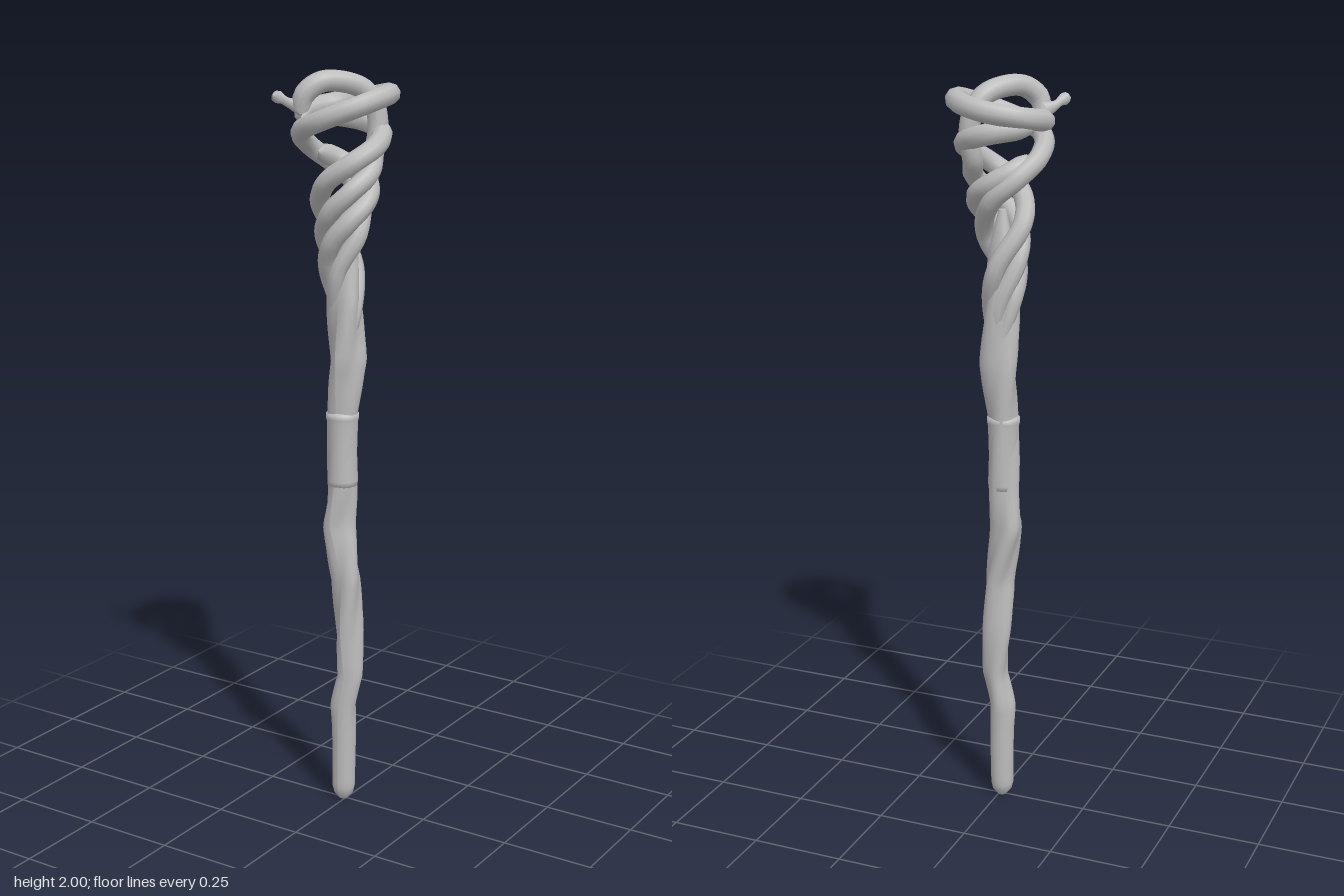
import * as THREE from 'three';

const V = (x, y, z) => new THREE.Vector3(x, y, z);

// Linear interpolation in rows of [key, a, b, ...]
function sample(rows, k) {
  let i = 0;
  while (i < rows.length - 2 && k > rows[i + 1][0]) i++;
  const a = rows[i], b = rows[i + 1];
  const t = THREE.MathUtils.clamp((k - a[0]) / (b[0] - a[0]), 0, 1);
  return a.slice(1).map((v, j) => v + (b[j + 1] - v) * t);
}

// Points around the staff axis from [degrees, distance, height]
const spiral = rows => rows.map(([deg, d, y]) => {
  const a = deg * Math.PI / 180;
  return V(Math.cos(a) * d - 0.006, y, Math.sin(a) * d);
});

// Tube whose thickness follows rows of [t, radius]; zero radius closes an end
function branch(points, radii, segments, sides = 9) {
  const curve = new THREE.CatmullRomCurve3(points);
  const geo = new THREE.TubeGeometry(curve, segments, 1, sides);
  const pos = geo.attributes.position, p = V(0, 0, 0);
  for (let i = 0; i <= segments; i++) {
    const c = curve.getPointAt(i / segments);
    const [r] = sample(radii, i / segments);
    for (let j = 0; j <= sides; j++) {
      const n = i * (sides + 1) + j;
      p.fromBufferAttribute(pos, n).sub(c).multiplyScalar(r).add(c);
      pos.setXYZ(n, p.x, p.y, p.z);
    }
  }
  return geo;
}

// Shaft: [height, centre x, centre z, radius, depth of the twisted ribs]
const SHAFT = [
  [0, -0.008, 0, 0.012, 0], [0.012, -0.008, 0, 0.025, 0], [0.035, -0.008, 0, 0.031, 0],
  [0.2, -0.007, 0, 0.033, 0.02], [0.28, -0.008, -0.002, 0.035, 0.1],
  [0.37, 0.01, -0.005, 0.033, 0.12], [0.5, 0.005, -0.003, 0.037, 0.14],
  [0.65, 0.003, 0, 0.038, 0.16], [0.8, -0.024, 0, 0.041, 0.17],
  [0.9, -0.014, 0, 0.039, 0.1], [1.1, -0.01, 0, 0.039, 0.08],
  [1.25, 0, 0, 0.047, 0.16], [1.4, -0.002, 0, 0.044, 0.16],
  [1.55, -0.008, 0, 0.034, 0.1], [1.66, -0.008, 0, 0.01, 0]
];

function shaftGeometry() {
  const geo = new THREE.CylinderGeometry(1, 1, 1.66, 20, 90);
  geo.translate(0, 0.83, 0);
  const pos = geo.attributes.position;
  for (let i = 0; i < pos.count; i++) {
    const x = pos.getX(i), y = pos.getY(i), z = pos.getZ(i);
    const [cx, cz, r, rib] = sample(SHAFT, y);
    const a = Math.atan2(z, x);
    const k = Math.hypot(x, z) * r * (1 + rib * Math.cos(3 * (a + y * 5.5)));
    pos.setXYZ(i, cx + Math.cos(a) * k, y, cz + Math.sin(a) * k);
  }
  geo.computeVertexNormals();
  return geo;
}

export function createModel() {
  const staff = new THREE.Group();
  staff.name = 'staff';
  const wood = new THREE.MeshStandardMaterial({ color: 0xbcbcbc });
  wood.name = 'plain grey';
  const add = (name, geo) => {
    const mesh = new THREE.Mesh(geo, wood);
    mesh.name = name;
    staff.add(mesh);
    return mesh;
  };

  add('shaft', shaftGeometry());

  // Wrapped grip with a raised upper lip
  const grip = [[0.03, 0.908], [0.04, 0.912], [0.041, 0.925], [0.0385, 1.0], [0.041, 1.085],
    [0.044, 1.095], [0.044, 1.108], [0.03, 1.114]].map(p => new THREE.Vector2(...p));
  add('grip', new THREE.LatheGeometry(grip, 20)).position.set(-0.01, 0, 0.002);

  // Strands winding up out of the shaft and widening into the head
  const thick = [[0, 0], [0.04, 0.016], [0.25, 0.025], [0.95, 0.028], [0.985, 0.022], [1, 0]];
  add('ringStrand', branch(spiral([
    [600, 0.02, 1.2], [540, 0.026, 1.34], [450, 0.033, 1.48], [360, 0.045, 1.59],
    [270, 0.068, 1.69], [225, 0.088, 1.745], [180, 0.103, 1.8], [135, 0.112, 1.845],
    [90, 0.111, 1.877], [45, 0.114, 1.91], [0, 0.117, 1.935], [-45, 0.116, 1.935],
    [-90, 0.113, 1.92], [-135, 0.114, 1.905], [-180, 0.114, 1.89], [-215, 0.108, 1.875]
  ]), thick, 90));

  add('middleStrand', branch(spiral([
    [450, 0.022, 1.24], [360, 0.03, 1.38], [270, 0.041, 1.51], [180, 0.055, 1.62],
    [135, 0.064, 1.675], [90, 0.075, 1.725], [45, 0.086, 1.77], [0, 0.094, 1.81],
    [-45, 0.096, 1.84], [-90, 0.096, 1.862], [-135, 0.098, 1.875], [-165, 0.1, 1.88]
  ]), thick, 70));

  add('lowerStrand', branch(spiral([
    [270, 0.024, 1.3], [180, 0.036, 1.44], [135, 0.045, 1.51], [90, 0.052, 1.57],
    [45, 0.058, 1.62], [0, 0.064, 1.665], [-45, 0.066, 1.705], [-90, 0.066, 1.735],
    [-135, 0.07, 1.765], [-180, 0.082, 1.79]
  ]), thick, 60));

  // Strand that turns upward inside the ring and arches over the top
  add('archStrand', branch([
    ...spiral([[360, 0.022, 1.26], [270, 0.03, 1.4], [180, 0.044, 1.53], [135, 0.053, 1.59],
      [90, 0.063, 1.645], [45, 0.071, 1.695], [0, 0.076, 1.74], [-40, 0.076, 1.79]]),
    V(0.056, 1.85, -0.062), V(0.047, 1.91, -0.058), V(0.025, 1.95, -0.035),
    V(-0.015, 1.969, 0.015), V(-0.045, 1.966, 0.052), V(-0.075, 1.935, 0.078),
    V(-0.088, 1.885, 0.076)
  ], thick, 75));

  // Small broken twig beside the arch
  add('twig', branch([V(-0.09, 1.905, 0.065), V(-0.112, 1.915, 0.092), V(-0.122, 1.925, 0.108),
    V(-0.131, 1.932, 0.12), V(-0.136, 1.937, 0.13)],
  [[0, 0.026], [0.4, 0.013], [0.6, 0.011], [0.8, 0.017], [0.93, 0.013], [1, 0]], 14, 7));

  return staff;
}
